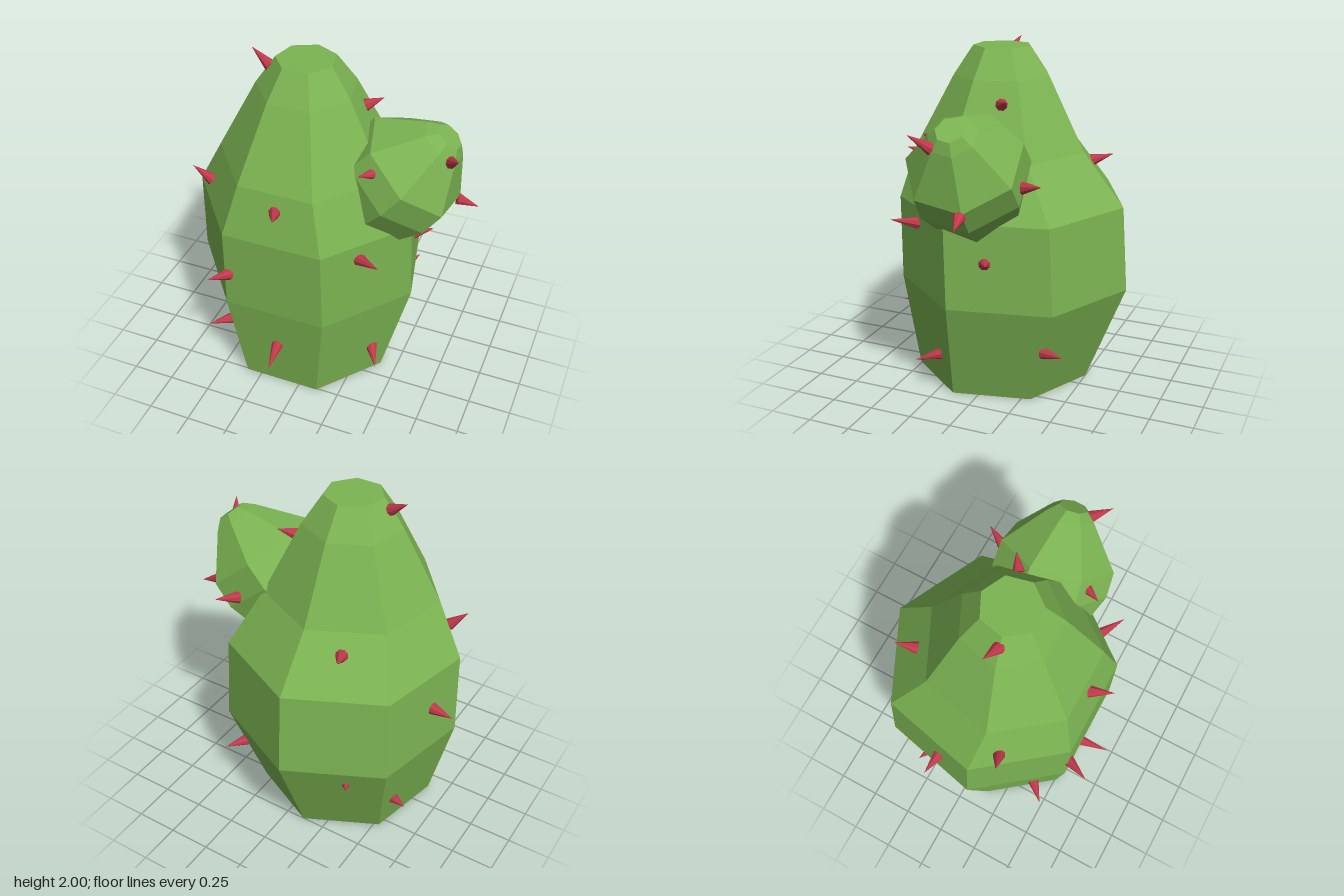
import * as THREE from 'three';

const green = new THREE.MeshStandardMaterial({ color: 0x7cb452, flatShading: true });
const red = new THREE.MeshStandardMaterial({ color: 0xc0394b, flatShading: true });

// Seven-sided faceted barrel; rings run from top to bottom as [y, radius, z offset]
function barrel(name, rings) {
  const rows = rings.length - 1;
  const geo = new THREE.CylinderGeometry(1, 1, 1, 7, rows, false, Math.PI);
  const p = geo.attributes.position;
  for (let i = 0; i < p.count; i++) {
    const [y, r, z] = rings[Math.round((0.5 - p.getY(i)) * rows)];
    p.setXYZ(i, p.getX(i) * r, y, p.getZ(i) * r + z);
  }
  geo.computeVertexNormals();
  const mesh = new THREE.Mesh(geo, green);
  mesh.name = name;
  return mesh;
}

// Cone running from a base point on the skin to its tip
function spike(name, base, tip, radius = 0.036) {
  const a = new THREE.Vector3(...base), b = new THREE.Vector3(...tip);
  const dir = b.clone().sub(a);
  const len = dir.length();
  const mesh = new THREE.Mesh(new THREE.ConeGeometry(radius, len, 8), red);
  mesh.name = name;
  mesh.position.copy(a).add(b).multiplyScalar(0.5);
  mesh.quaternion.setFromUnitVectors(new THREE.Vector3(0, 1, 0), dir.divideScalar(len));
  return mesh;
}

export function createModel() {
  const model = new THREE.Group();
  model.name = 'cactus';

  // Main trunk
  const trunk = barrel('trunk', [
    [1.985, 0.169, 0.048], [1.82, 0.284, 0.044], [1.4, 0.505, 0.05],
    [1.1, 0.674, -0.025], [0.6, 0.69, -0.045], [0, 0.53, 0.03],
  ]);
  trunk.position.x = -0.115;
  model.add(trunk);

  // Squat side arm, leaning outward; its origin is the centre of the tip
  const arm = barrel('arm', [
    [0, 0.083, 0], [-0.05, 0.14, 0], [-0.18, 0.25, 0],
    [-0.28, 0.335, 0], [-0.44, 0.345, 0], [-0.64, 0.285, 0],
  ]);
  arm.geometry.rotateY(-0.148);
  const up = new THREE.Vector3(0.64, 0.77, -0.04).normalize();
  const side = new THREE.Vector3(0, 0, -1).addScaledVector(up, up.z).normalize();
  const out = side.clone().cross(up);
  arm.quaternion.setFromRotationMatrix(new THREE.Matrix4().makeBasis(side, up, out));
  arm.position.set(0.685, 1.66, 0);
  model.add(arm);

  // Spikes on the trunk: base, tip
  const trunkSpikes = [
    [[-0.31, 1.92, 0.085], [-0.43, 2.0, 0.06]],
    [[0.18, 1.70, -0.07], [0.27, 1.735, -0.13]],
    [[-0.105, 1.30, 0.525], [-0.06, 1.34, 0.66]],
    [[-0.63, 1.20, 0.25], [-0.73, 1.295, 0.285]],
    [[0.33, 1.005, 0.39], [0.475, 1.055, 0.49]],
    [[0.49, 0.88, -0.10], [0.60, 0.91, -0.15]],
    [[-0.73, 0.875, -0.10], [-0.865, 0.873, -0.12]],
    [[-0.385, 0.82, 0.575], [-0.45, 0.863, 0.715]],
    [[-0.48, 0.296, 0.40], [-0.59, 0.296, 0.505]],
    [[-0.115, 0.33, 0.54], [-0.09, 0.315, 0.73]],
    [[0.365, 0.225, 0.235], [0.44, 0.19, 0.37]],
    [[0.36, 0.345, -0.40], [0.42, 0.36, -0.54]],
    [[-0.335, 1.30, -0.43], [-0.38, 1.34, -0.55]],
    [[-0.41, 0.48, -0.50], [-0.465, 0.50, -0.59]],
    [[-0.59, 0.245, -0.27], [-0.70, 0.26, -0.315]],
  ];
  // Spikes on the arm
  const armSpikes = [
    [[0.36, 1.50, 0.25], [0.30, 1.53, 0.36]],
    [[0.72, 1.56, 0.09], [0.79, 1.64, 0.195]],
    [[0.74, 1.22, -0.073], [0.86, 1.18, -0.095]],
    [[0.435, 1.32, -0.30], [0.50, 1.355, -0.43]],
  ];
  trunkSpikes.forEach(([b, t], i) => model.add(spike('trunkSpike' + (i + 1), b, t)));
  armSpikes.forEach(([b, t], i) => model.add(spike('armSpike' + (i + 1), b, t)));
  return model;
}
